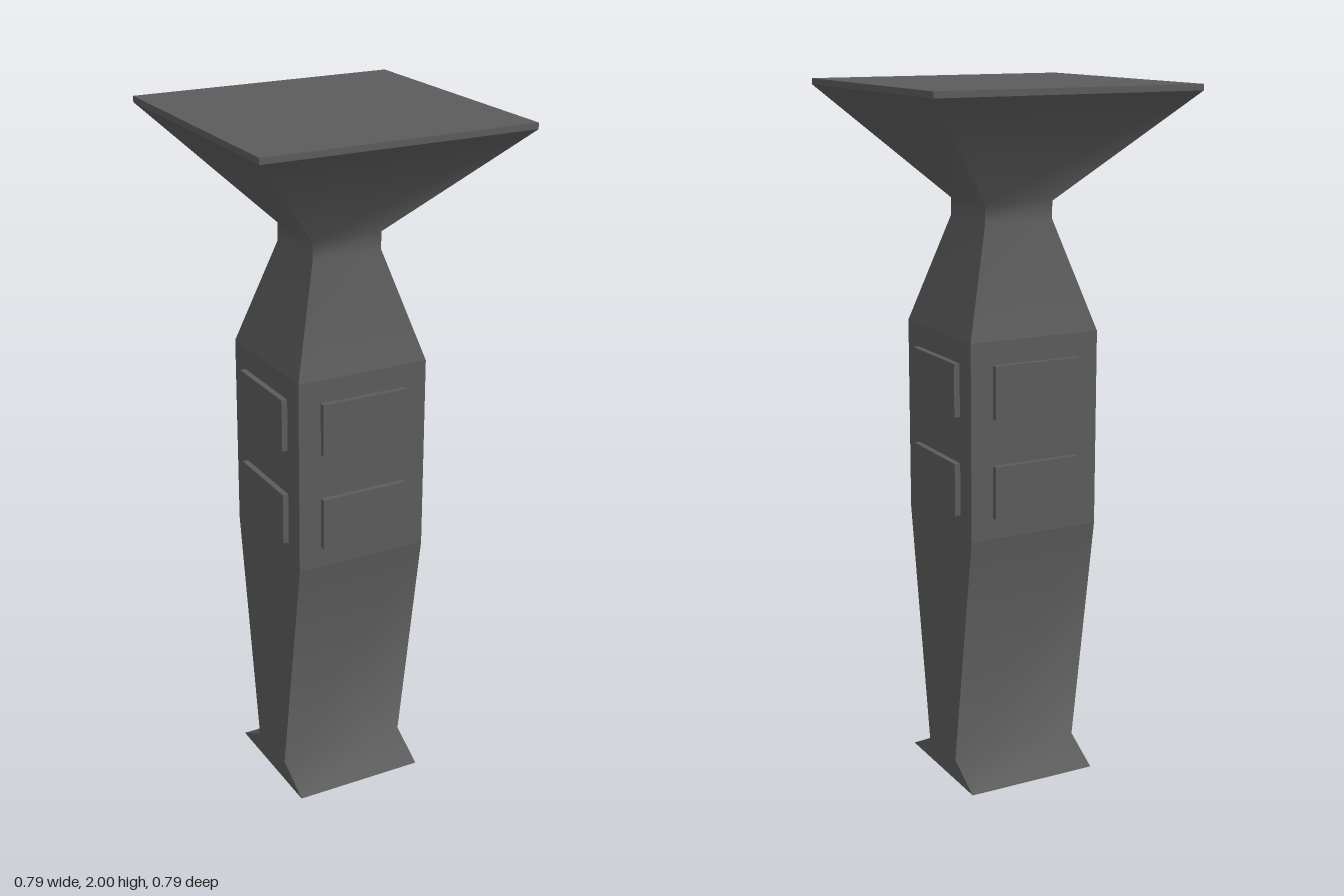
import * as THREE from 'three';
import { toCreasedNormals } from 'three/addons/utils/BufferGeometryUtils.js';

// Loft through rectangular sections [y, halfX, halfZ], listed from bottom to top
function loft(sections, crease, capBottom = false) {
  const pos = [], idx = [];
  for (const [y, hx, hz] of sections) {
    pos.push(hx, y, hz, hx, y, -hz, -hx, y, -hz, -hx, y, hz);
  }
  for (let s = 0; s < sections.length - 1; s++) {
    for (let i = 0; i < 4; i++) {
      const a = s * 4 + i, b = s * 4 + (i + 1) % 4;
      idx.push(a, b, b + 4, a, b + 4, a + 4);
    }
  }
  if (capBottom) idx.push(0, 2, 1, 0, 3, 2);
  const geo = new THREE.BufferGeometry();
  geo.setAttribute('position', new THREE.Float32BufferAttribute(pos, 3));
  geo.setIndex(idx);
  return toCreasedNormals(geo, crease);
}

export function createModel() {
  const model = new THREE.Group();
  const stone = new THREE.MeshStandardMaterial({ color: 0x5b5b5c });
  stone.name = 'dark grey stone';

  const add = (name, geo, parent = model) => {
    const mesh = new THREE.Mesh(geo, stone);
    mesh.name = name;
    parent.add(mesh);
    return mesh;
  };

  const W = 0.197;

  // Tapered lower shaft with its flared foot
  add('lowerShaft', loft([[0, W, W], [0.062, W, 0.085], [0.765, W, W]], 1.3, true));

  // Straight middle block
  add('middleShaft', loft([[0.765, W, W], [1.325, W, W]], 0.1));

  // Shoulder, neck and flared capital
  add('capital', loft([
    [1.325, W, W], [1.63, 0.104, 0.104], [1.68, 0.104, 0.104], [1.983, 0.394, 0.394],
  ], 1.0));

  // Thin slab on top
  add('topSlab', new THREE.BoxGeometry(0.788, 0.017, 0.788).translate(0, 1.9915, 0));

  // Two raised panels on each of the four sides
  for (let side = 0; side < 4; side++) {
    const panels = new THREE.Group();
    panels.name = 'sidePanels' + (side + 1);
    panels.rotation.y = side * Math.PI / 2;
    for (const [name, y] of [['lowerPanel', 0.902], ['upperPanel', 1.184]]) {
      add(name, new THREE.BoxGeometry(0.26, 0.15, 0.03).translate(0, y, 0.199), panels);
    }
    model.add(panels);
  }
  return model;
}
